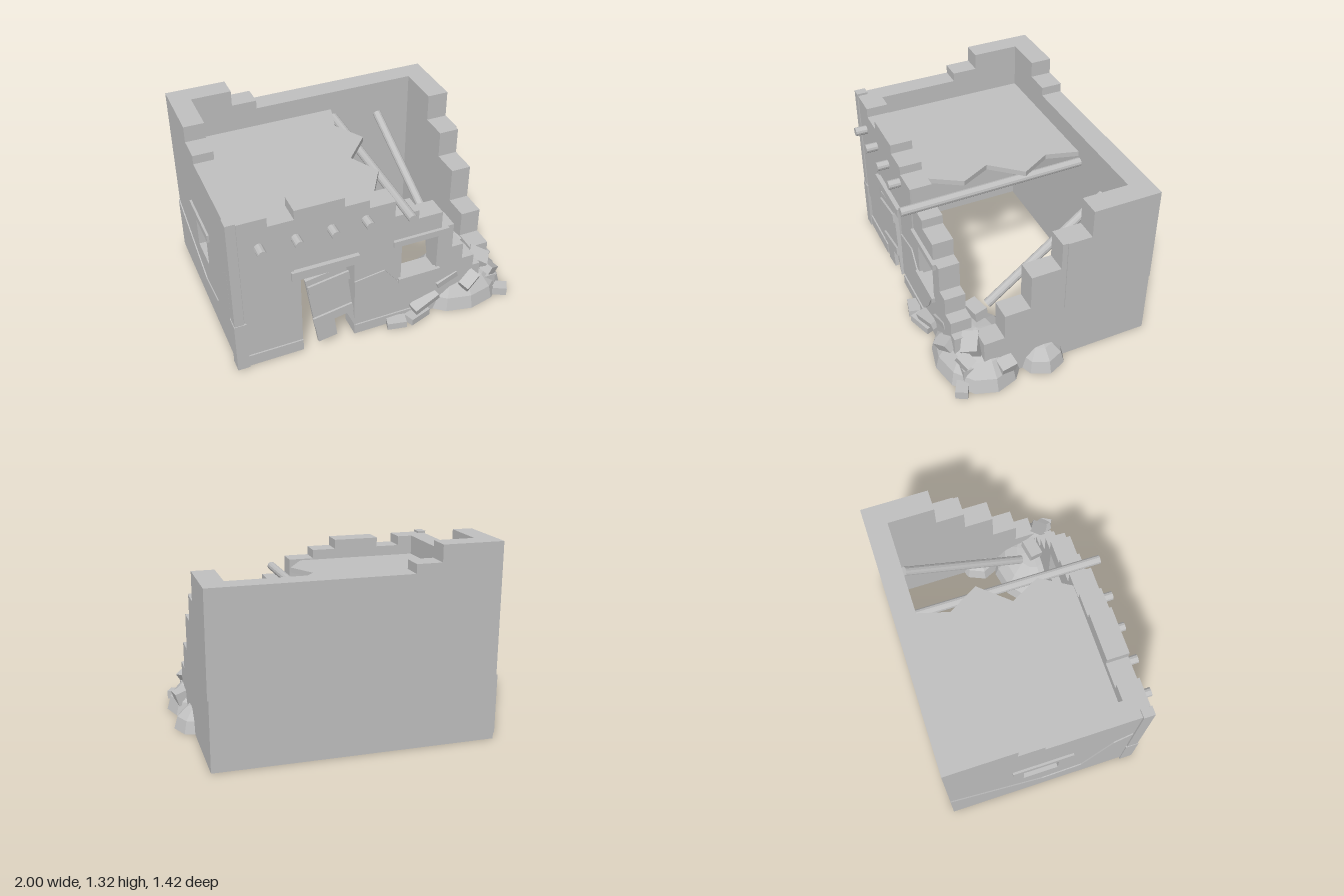
import * as THREE from 'three';

export function createModel() {
  const root = new THREE.Group();
  root.name = 'ruinedHouse';
  const stone = new THREE.MeshStandardMaterial({ color: 0xc0c0c0, flatShading: true });
  stone.name = 'plainStone';

  const add = (name, geo) => {
    const m = new THREE.Mesh(geo, stone);
    m.name = name;
    root.add(m);
    return m;
  };
  const shapeOf = (pts) => new THREE.Shape(pts.map(([a, b]) => new THREE.Vector2(a, b)));
  // outline in x,y pushed from z0 to z1
  const plateXY = (name, pts, z0, z1, holes = []) => {
    const s = shapeOf(pts);
    holes.forEach((h) => s.holes.push(shapeOf(h)));
    const g = new THREE.ExtrudeGeometry(s, { depth: z1 - z0, bevelEnabled: false });
    return add(name, g.translate(0, 0, z0));
  };
  // outline in z,y pushed from x0 to x1
  const plateZY = (name, pts, x0, x1, holes = []) => {
    const s = shapeOf(pts);
    holes.forEach((h) => s.holes.push(shapeOf(h)));
    const g = new THREE.ExtrudeGeometry(s, { depth: x1 - x0, bevelEnabled: false });
    return add(name, g.rotateY(-Math.PI / 2).translate(x1, 0, 0));
  };
  // box from its limits
  const box = (name, x0, x1, y0, y1, z0, z1) =>
    add(name, new THREE.BoxGeometry(x1 - x0, y1 - y0, z1 - z0)
      .translate((x0 + x1) / 2, (y0 + y1) / 2, (z0 + z1) / 2));
  const rect = (a0, a1, b0, b1) => [[a0, b0], [a1, b0], [a1, b1], [a0, b1]];
  const pole = (name, a, b, r) => {
    const p = new THREE.Vector3(...a), q = new THREE.Vector3(...b);
    const m = add(name, new THREE.CylinderGeometry(r, r, p.distanceTo(q), 12));
    m.position.copy(p).add(q).multiplyScalar(0.5);
    m.quaternion.setFromUnitVectors(new THREE.Vector3(0, 1, 0), q.sub(p).normalize());
  };

  // Walls with broken, stepped tops
  const frontTop = [[0.08, 1.02], [-0.095, 1.02], [-0.095, 1.08], [-0.26, 1.08], [-0.26, 1.145],
    [-0.58, 1.145], [-0.58, 1.08], [-0.745, 1.08], [-0.745, 1.145]];
  plateXY('frontWall', [
    [-0.985, 0], [-0.55, 0], [-0.55, 0.64], [-0.19, 0.64], [-0.19, 0], [0.88, 0], [0.88, 0.15],
    [0.74, 0.15], [0.74, 0.3], [0.685, 0.3], [0.685, 0.39], [0.595, 0.39], [0.595, 0.515],
    [0.51, 0.515], [0.51, 0.705], [0.42, 0.705], [0.42, 0.83], [0.25, 0.83], [0.25, 0.895],
    [0.08, 0.895], ...frontTop, [-0.985, 1.145],
  ], 0.46, 0.6, [rect(0.14, 0.4, 0.36, 0.67)]);
  plateXY('backWall', [[-0.985, 0], [0.88, 0], [0.88, 1.145], [-0.41, 1.145], [-0.41, 1.205],
    [-0.58, 1.205], [-0.58, 1.315], [-0.985, 1.315]], -0.71, -0.565);
  plateZY('sideWallWithWindow', [[-0.565, 0], [0.46, 0], [0.46, 1.145], [-0.08, 1.145], [-0.08, 1.205],
    [-0.25, 1.205], [-0.25, 1.315], [-0.565, 1.315]], -0.985, -0.85, [rect(-0.2, 0.04, 0.42, 0.7)]);
  plateZY('brokenSideWall', [[-0.565, 0], [0.46, 0], [0.46, 0.33], [0.32, 0.33], [0.32, 0.515],
    [0.145, 0.515], [0.145, 0.765], [-0.055, 0.765], [-0.055, 0.955], [-0.25, 0.955],
    [-0.25, 1.145], [-0.565, 1.145]], 0.74, 0.88);

  // Roof slab with a jagged edge
  const roof = new THREE.ExtrudeGeometry(shapeOf([[-0.85, -0.46], [0, -0.46], [0.125, -0.255],
    [0.02, -0.055], [0.195, 0.145], [0.075, 0.35], [0.135, 0.565], [-0.85, 0.565]]),
  { depth: 0.035, bevelEnabled: false });
  add('roofSlab', roof.rotateX(-Math.PI / 2).translate(0, 0.975, 0));

  // Thin plaster patches
  plateXY('frontPlaster', [[-0.93, 0.3], [-0.83, 0.265], [-0.645, 0.375], [-0.59, 0.72], [-0.17, 0.755],
    [-0.07, 0.575], [0.075, 0.625], ...frontTop, [-0.93, 1.145]], 0.6, 0.609);
  plateXY('lowerPlaster', [[-0.19, 0.105], [0.165, 0.105], [0.22, 0.12], [0.31, 0.22], [0.37, 0.345],
    [0.115, 0.36], [0.02, 0.485], [-0.19, 0.455]], 0.6, 0.609);
  plateZY('brokenSidePlaster', [[-0.71, 0.465], [-0.34, 0.345], [-0.09, 0.43], [-0.09, 0.955],
    [-0.25, 0.955], [-0.25, 1.145], [-0.71, 1.145]], 0.88, 0.887);
  plateZY('sidePlaster', [[-0.71, 0.04], [0.53, 0.04], [0.53, 0.75], [0.41, 0.66], [0.22, 0.25],
    [-0.06, 0.22], [-0.71, 0.445]], -0.993, -0.985);

  // Corner post and plinths
  box('cornerPost', -0.995, -0.935, 0, 1.16, 0.54, 0.615);
  box('cornerPostBase', -1, -0.92, 0, 0.375, 0.53, 0.62);
  box('plinth', -0.92, -0.55, 0, 0.085, 0.6, 0.61);
  box('plinth', -0.19, 0.3, 0, 0.075, 0.6, 0.61);

  // Lintels and sill
  box('doorLintel', -0.615, -0.165, 0.625, 0.69, 0.59, 0.63);
  box('windowLintel', 0.075, 0.465, 0.66, 0.705, 0.58, 0.622);
  box('windowSill', 0.12, 0.42, 0.345, 0.38, 0.58, 0.622);
  box('sideLintel', -1, -0.96, 0.68, 0.735, -0.28, 0.13);

  // Broken leaning door with two battens
  plateXY('doorLeaf', [[-0.45, 0.045], [-0.32, 0.065], [-0.345, 0.26], [-0.275, 0.28],
    [-0.19, 0.085], [-0.26, 0.64], [-0.53, 0.595]], 0.6, 0.626);
  plateXY('doorBatten', [[-0.51, 0.485], [-0.235, 0.53], [-0.245, 0.595], [-0.52, 0.55]], 0.626, 0.64);
  plateXY('doorBatten', [[-0.48, 0.2], [-0.21, 0.25], [-0.22, 0.315], [-0.49, 0.27]], 0.626, 0.64);

  // Roof beams
  for (const x of [-0.805, -0.575, -0.345, -0.12]) pole('beamEnd', [x, 0.945, 0.5], [x, 0.945, 0.69], 0.03);
  pole('longBeam', [0.155, 0.942, -0.565], [0.155, 0.928, 0.705], 0.03);
  pole('fallenBeam', [0.488, 0.905, -0.555], [0.565, 0.34, 0.3], 0.03);

  // Rubble mounds: faceted half domes with closed bottoms
  const mound = (x, z, rx, h, rz, n, rings) => {
    const profile = [new THREE.Vector2(0, 0)];
    for (let i = 0; i <= rings; i++) {
      const a = (i / rings) * Math.PI / 2;
      profile.push(new THREE.Vector2(i === rings ? 0 : Math.cos(a), Math.sin(a)));
    }
    const m = add('rubbleMound', new THREE.LatheGeometry(profile, n, Math.PI / 2));
    m.scale.set(rx, h, rz);
    m.position.set(x, 0, z);
  };
  mound(0.65, 0.415, 0.35, 0.25, 0.285, 12, 4);
  mound(0.82, 0.045, 0.18, 0.17, 0.17, 8, 3);

  // Fallen blocks: centre, size, rotation
  const blocks = [
    [[0.61, 0.37, 0.4], [0.14, 0.07, 0.09], [0.1, 0.2, 0.05]],
    [[0.775, 0.26, 0.5], [0.14, 0.09, 0.11], [0.3, -0.6, -0.25]],
    [[0.65, 0.2, 0.63], [0.13, 0.07, 0.08], [0.4, 0.5, 0.3]],
    [[0.91, 0.12, 0.325], [0.09, 0.09, 0.11], [0.05, 0.15, -0.3]],
    [[0.91, 0.03, 0.625], [0.1, 0.06, 0.08], [0, -0.5, 0]],
    [[0.84, 0.2, 0.57], [0.1, 0.06, 0.08], [0.2, 0.4, -0.6]],
    [[0.32, 0.115, 0.61], [0.2, 0.05, 0.09], [0.2, 0.25, 0.25]],
    [[0.49, 0.24, 0.57], [0.16, 0.05, 0.08], [0.1, 0.1, 0.35]],
    [[0.1, 0.03, 0.645], [0.13, 0.05, 0.08], [0, -0.25, 0.05]],
    [[0.26, 0.03, 0.635], [0.17, 0.05, 0.08], [0, 0.35, -0.04]],
  ];
  for (const [c, s, r] of blocks) {
    const b = add('fallenBlock', new THREE.BoxGeometry(...s));
    b.position.set(...c);
    b.rotation.set(...r);
  }
  return root;
}
